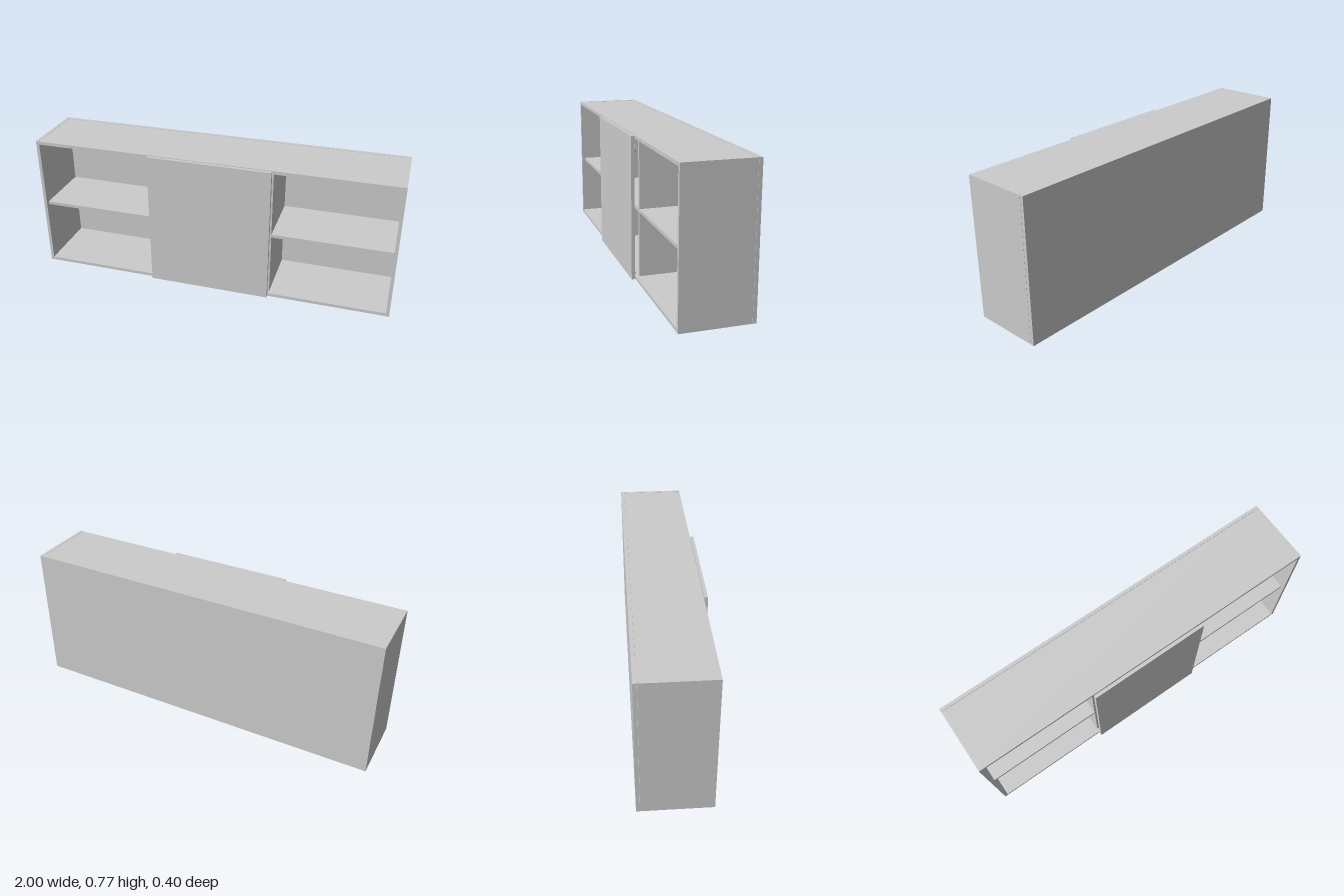
import * as THREE from 'three';

const W = 2, H = 0.77, T = 0.018;   // overall width, height, board thickness
const BACK = -0.18, FRONT = 0.178;  // carcass depth range

export function createModel() {
  const group = new THREE.Group();
  const material = new THREE.MeshStandardMaterial({ color: 0xcccccc });

  // Board given by its extents along each axis
  const board = (name, [x0, x1], [y0, y1], [z0, z1]) => {
    const mesh = new THREE.Mesh(new THREE.BoxGeometry(x1 - x0, y1 - y0, z1 - z0), material);
    mesh.position.set((x0 + x1) / 2, (y0 + y1) / 2, (z0 + z1) / 2);
    mesh.name = name;
    group.add(mesh);
  };

  // Carcass: back, sides, top and bottom boards
  const inner = W / 2 - T;
  board('backPanel', [-W / 2, W / 2], [0, H], [-0.2, BACK - 0.001]);
  board('rightSide', [-W / 2, -inner], [0, H], [BACK, FRONT]);
  board('leftSide', [inner, W / 2], [0, H], [BACK, FRONT]);
  board('topBoard', [-inner, inner], [H - T - 0.001, H - 0.001], [BACK, FRONT]);
  board('bottomBoard', [-inner, inner], [0.001, T + 0.001], [BACK, FRONT]);

  // Three equal bays, split by two dividers set back from the front edge
  const bay = (W - 4 * T) / 3;
  const inset = FRONT - 0.02;
  for (let i = 0; i < 3; i++) {
    const x = -inner + i * (bay + T);
    board('shelf', [x, x + bay], [0.368, 0.386], [BACK, inset]);
    if (i < 2) board('divider', [x + bay, x + bay + T], [T, H - T], [BACK, inset]);
  }

  // Sliding door in front of the middle bay
  board('slidingDoor', [-0.34, 0.335], [0.004, 0.767], [0.182, 0.2]);

  // Rollers and lower guides fixed to the back of the door
  for (const x of [-0.295, 0.29]) {
    const roller = new THREE.Mesh(new THREE.CylinderGeometry(0.025, 0.025, 0.012, 24), material);
    roller.rotation.x = Math.PI / 2;
    roller.position.set(x, 0.695, 0.176);
    roller.name = 'doorRoller';
    group.add(roller);
    board('doorGuide', [x - 0.02, x + 0.02], [0.021, 0.036], [0.17, 0.182]);
  }
  return group;
}
